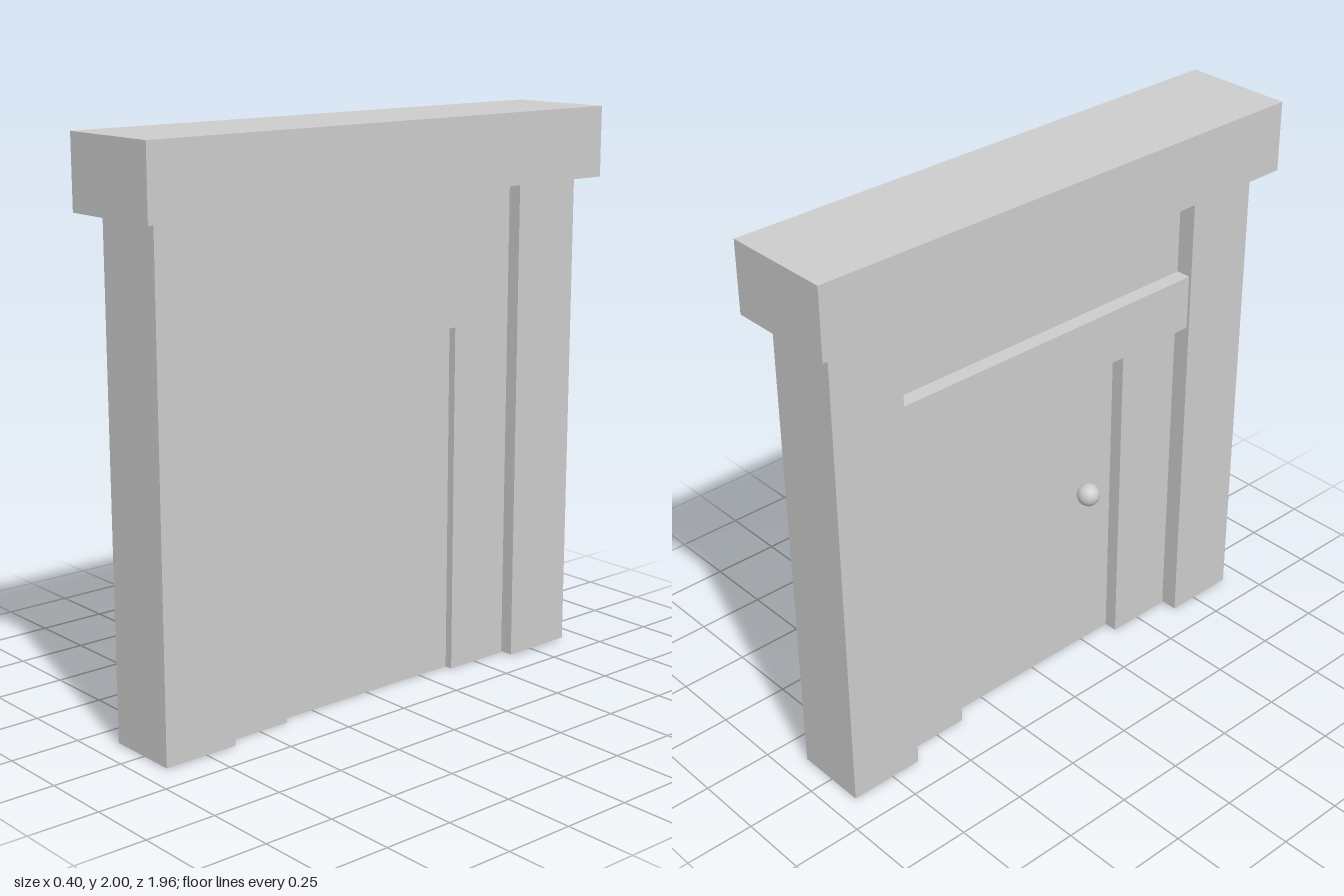
import * as THREE from 'three';

const material = new THREE.MeshStandardMaterial({ color: 0xcccccc, flatShading: true });

export function createModel() {
  const group = new THREE.Group();

  function add(name, geometry) {
    const mesh = new THREE.Mesh(geometry, material);
    mesh.name = name;
    group.add(mesh);
    return mesh;
  }

  // Box given by its lower and upper limits on each axis
  function box(name, [x0, x1], [y0, y1], [z0, z1]) {
    add(name, new THREE.BoxGeometry(x1 - x0, y1 - y0, z1 - z0))
      .position.set((x0 + x1) / 2, (y0 + y1) / 2, (z0 + z1) / 2);
  }

  // Heavy top slab and the two pillars carrying it
  box('capSlab', [-0.2, 0.2], [1.75, 2], [-0.98, 0.98]);
  box('frontPillar', [-0.135, 0.135], [0.005, 1.75], [0.64, 0.915]);
  box('backPillar', [-0.135, 0.135], [0.005, 1.75], [-0.915, -0.64]);

  // Wall with the doorway cut out of its lower edge, extruded along x
  const outline = [
    [-0.64, 0], [-0.383, 0], [-0.383, 1.26], [0.383, 1.26],
    [0.383, 0], [0.64, 0], [0.64, 1.75], [-0.64, 1.75],
  ].map(([u, v]) => new THREE.Vector2(u, v));
  const wall = add('wall', new THREE.ExtrudeGeometry(new THREE.Shape(outline), { depth: 0.155, bevelEnabled: false }));
  wall.rotation.y = Math.PI / 2;
  wall.position.x = -0.07;

  // Recessed door leaf
  box('door', [-0.02, 0.056], [0, 1.26], [-0.383, 0.383]);

  // Lintel beam above the door, on the knob side only
  box('lintel', [-0.125, -0.07], [1.23, 1.43], [-0.64, 0.64]);

  // Round door knob
  const knob = add('doorKnob', new THREE.SphereGeometry(0.042, 16, 12));
  knob.material = new THREE.MeshStandardMaterial({ color: 0xcccccc });
  knob.position.set(-0.052, 0.67, 0.245);

  return group;
}
